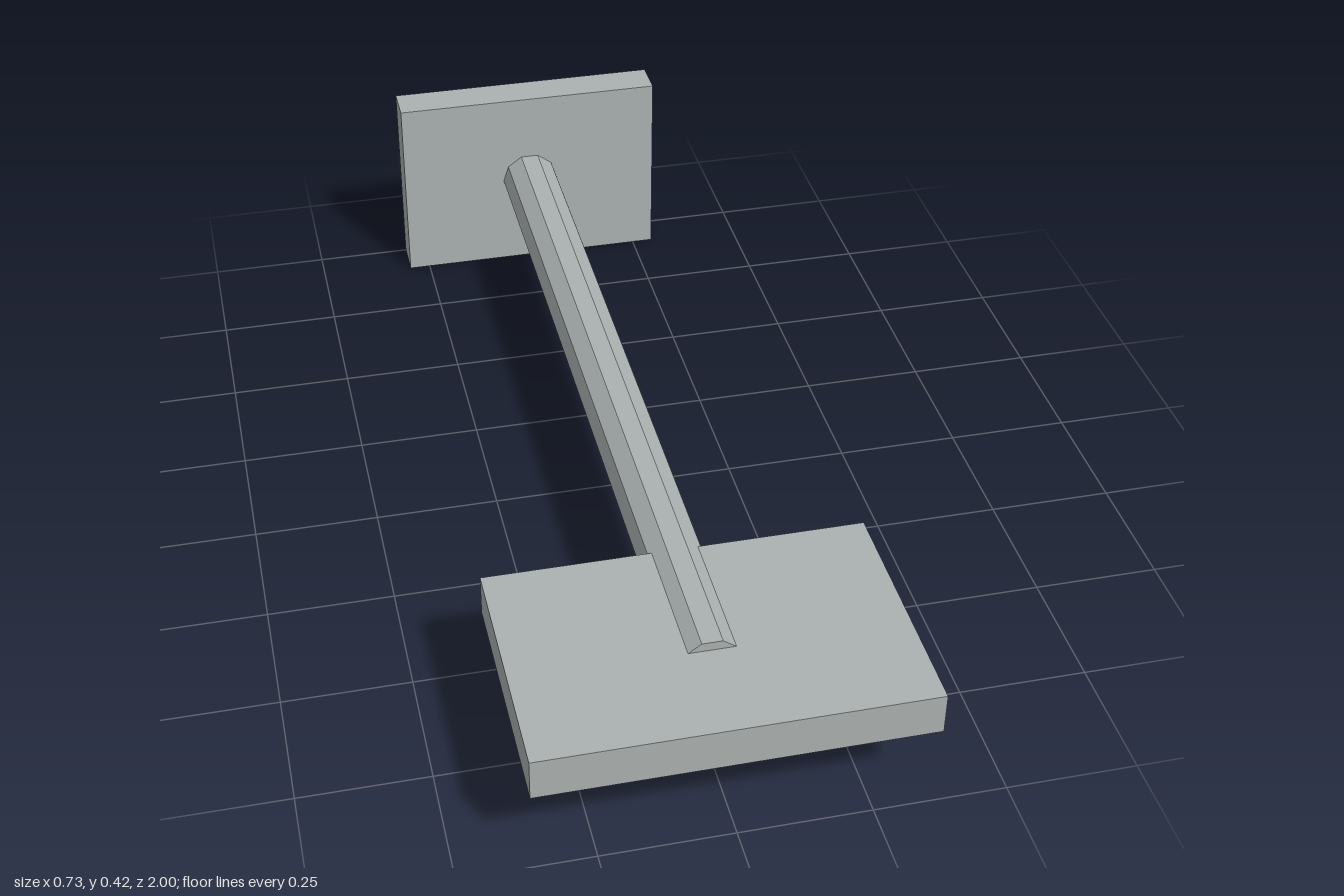
import * as THREE from 'three';

export function createModel() {
  const group = new THREE.Group();
  const grey = new THREE.MeshStandardMaterial({ color: 0xabb2b1, flatShading: true });
  grey.name = 'grey';

  const add = (name, geometry, x, y, z) => {
    const mesh = new THREE.Mesh(geometry, grey);
    mesh.name = name;
    mesh.position.set(x, y, z);
    group.add(mesh);
  };

  // upright plate at the back
  add('backPlate', new THREE.BoxGeometry(0.592, 0.423, 0.083), 0, 0.2115, -0.9585);

  // flat plate at the front
  add('frontPlate', new THREE.BoxGeometry(0.732, 0.084, 0.478), 0, 0.212, 0.761);

  // ten-sided rod along z, flat side up, sunk through the front plate
  const rod = new THREE.CylinderGeometry(0.063, 0.063, 1.72, 10, 1, false, Math.PI / 2);
  rod.rotateX(Math.PI / 2);
  add('rod', rod, 0, 0.212, -0.06);

  return group;
}
